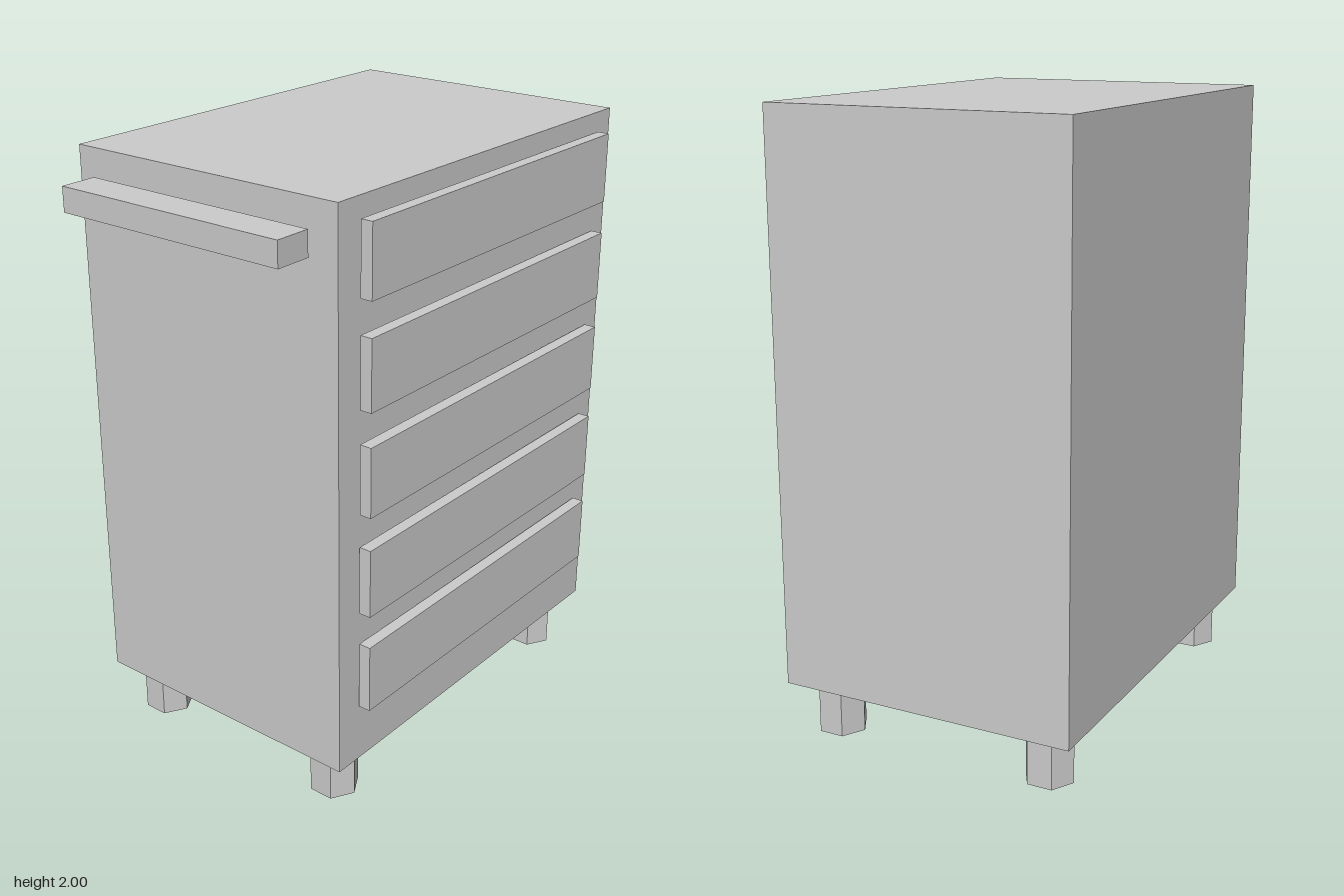
import * as THREE from 'three';

export function createModel() {
  const model = new THREE.Group();
  const grey = new THREE.MeshStandardMaterial({ color: 0xcccccc });
  grey.name = 'light grey';
  grey.flatShading = true;

  const add = (name, geometry, x, y, z) => {
    const mesh = new THREE.Mesh(geometry, grey);
    mesh.name = name;
    mesh.position.set(x, y, z);
    model.add(mesh);
  };

  // Cabinet body
  add('cabinetBody', new THREE.BoxGeometry(1.414, 1.826, 0.995), 0.073, 1.087, -0.024);

  // Five drawer fronts standing just clear of the body
  const drawer = new THREE.BoxGeometry(1.243, 0.226, 0.04);
  for (let i = 0; i < 5; i++) {
    add(`drawerFront${i + 1}`, drawer, 0.073, 1.825 - i * 0.3335, 0.503);
  }

  // Push handle beside the cabinet
  add('sideHandle', new THREE.BoxGeometry(0.124, 0.08, 0.83), -0.721, 1.878, -0.024);

  // Four hexagonal legs
  const leg = new THREE.CylinderGeometry(0.082, 0.082, 0.172, 6);
  for (const x of [-0.509, 0.655]) {
    for (const z of [0.351, -0.398]) {
      add(`${z > 0 ? 'front' : 'back'}${x > 0 ? 'Left' : 'Right'}Leg`, leg, x, 0.086, z);
    }
  }
  return model;
}
